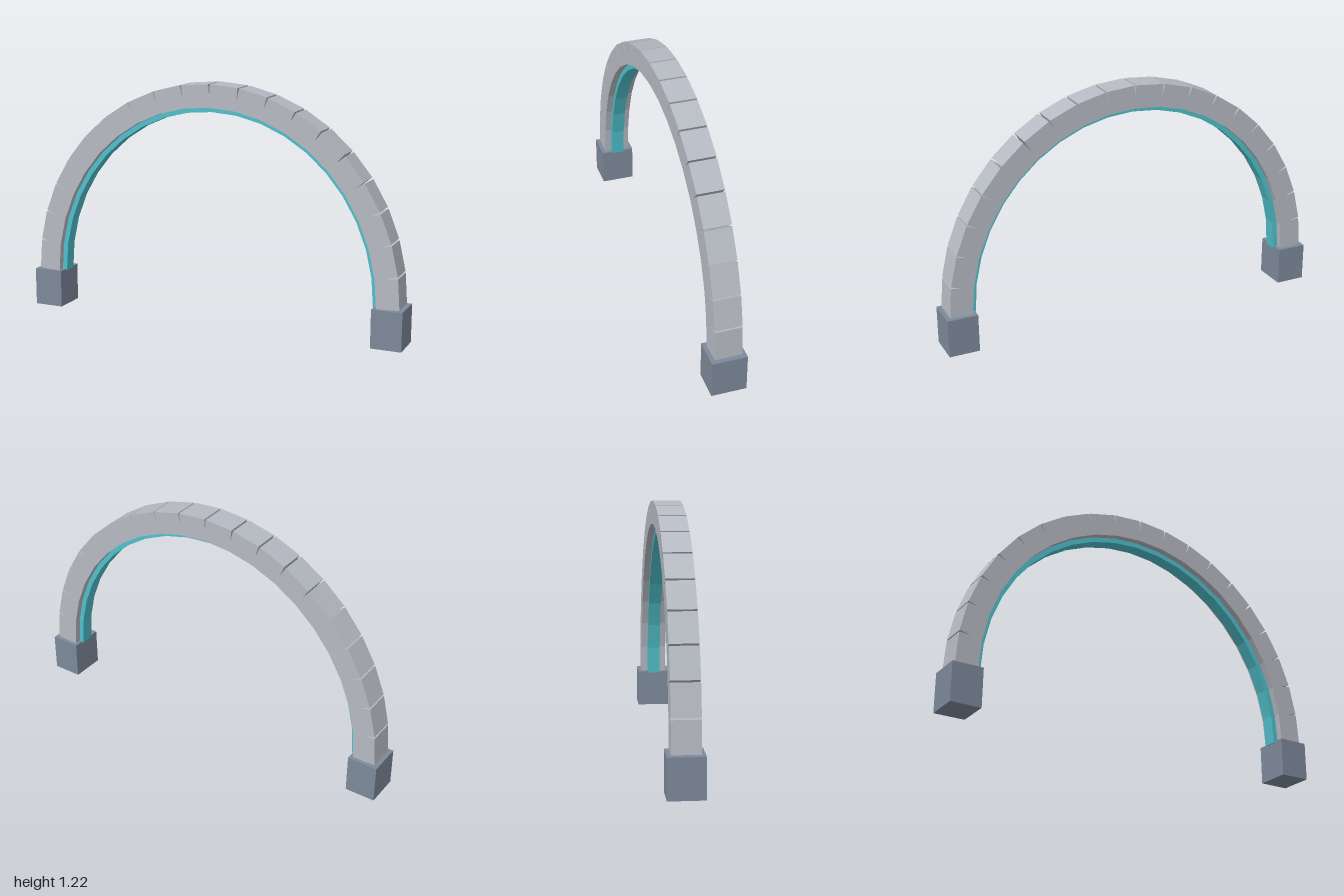
import * as THREE from 'three';

const SEGMENTS = 20;
const BASE_TOP = 0.193;
const RX = 0.9225, RY = 0.969; // centre line of the arch
const THICK = 0.115;           // radial thickness of the stone blocks
const STRIP = 0.025;           // radial thickness of the inner strip

export function createModel() {
  const stone = new THREE.MeshStandardMaterial({ color: 0xb6bac2 });
  stone.name = 'light grey';
  const footing = new THREE.MeshStandardMaterial({ color: 0x7d899a });
  footing.name = 'slate grey';
  const glow = new THREE.MeshStandardMaterial({ color: 0x50c0cb });
  glow.name = 'teal';

  const model = new THREE.Group();
  model.name = 'arch';

  const addBox = (parent, name, material, w, h, d) => {
    const mesh = new THREE.Mesh(new THREE.BoxGeometry(w, h, d), material);
    mesh.name = name;
    parent.add(mesh);
    return mesh;
  };
  const pointAt = (i) => {
    const a = (i / SEGMENTS) * Math.PI;
    return new THREE.Vector2(RX * Math.cos(a), BASE_TOP + RY * Math.sin(a));
  };

  // Square footings under both ends
  for (const side of [-1, 1]) {
    const foot = addBox(model, side > 0 ? 'leftFooting' : 'rightFooting', footing, 0.153, BASE_TOP, 0.173);
    foot.position.set(side * 0.9235, BASE_TOP / 2, 0);
  }

  // Straight blocks laid along the curve; they part in small wedges on the outside
  for (let i = 0; i < SEGMENTS; i++) {
    const a = pointAt(i), b = pointAt(i + 1);
    const length = a.distanceTo(b);
    const segment = new THREE.Group();
    segment.name = 'archSegment' + (i + 1);
    segment.position.set((a.x + b.x) / 2, (a.y + b.y) / 2, 0);
    segment.rotation.z = Math.atan2(a.y - b.y, a.x - b.x); // local +y points outward
    addBox(segment, 'stoneBlock', stone, length, THICK, 0.134);
    // Narrow strip along the underside
    const strip = addBox(segment, 'innerStrip', glow, length, STRIP, 0.067);
    strip.position.y = -(THICK + STRIP) / 2;
    model.add(segment);
  }
  return model;
}
